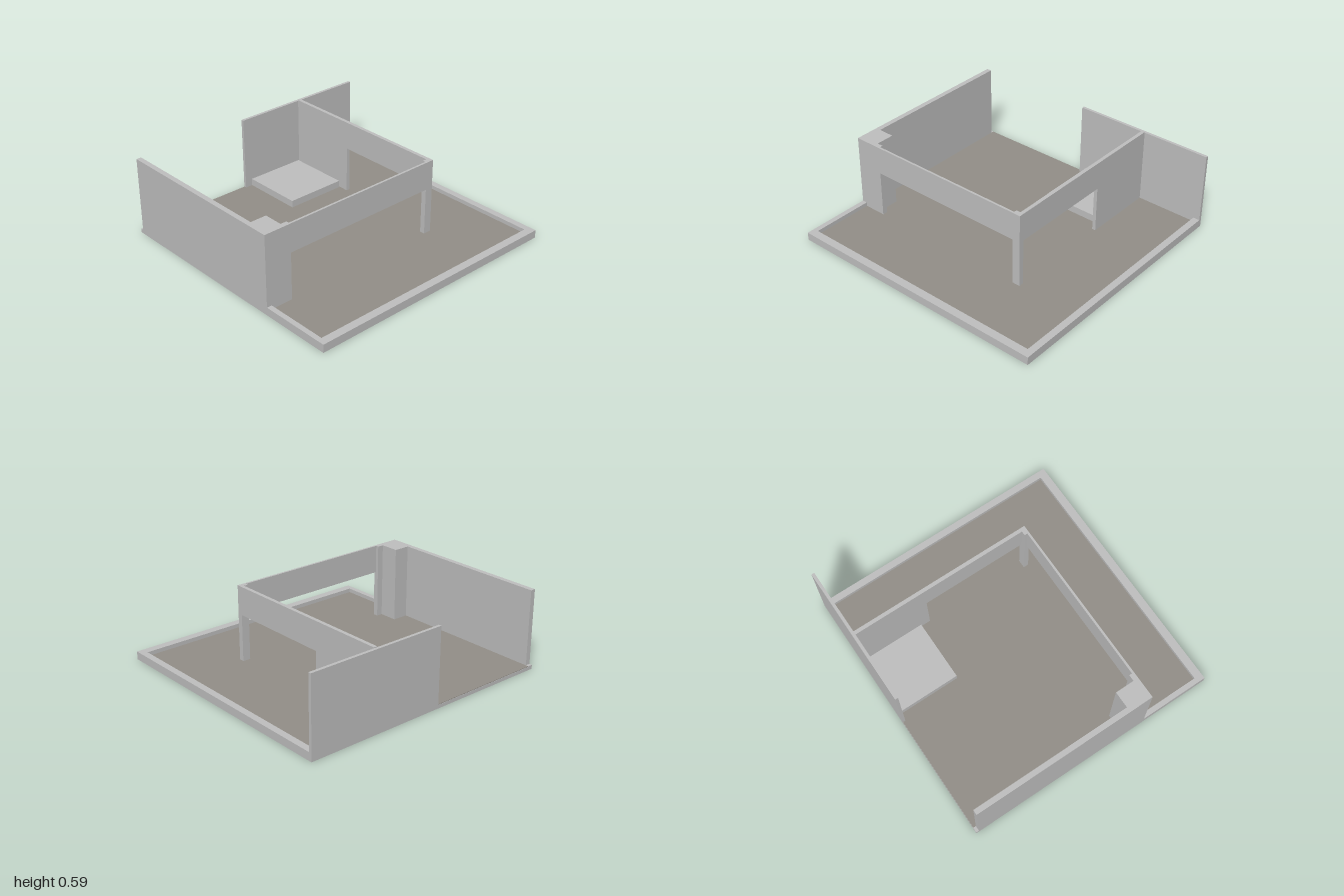
import * as THREE from 'three';

const plaster = new THREE.MeshStandardMaterial({ color: 0xbfbfbf });
plaster.name = 'plaster grey';
const flooring = new THREE.MeshStandardMaterial({ color: 0x938f88 });
flooring.name = 'floor taupe';

const X = 0.967;      // half width of the plot
const FLOOR = 0.03;   // floor level
const TOP = 0.59;     // wall height

// Box given by its limits on each axis
function block(name, [x0, x1], [y0, y1], [z0, z1], material = plaster) {
  const mesh = new THREE.Mesh(new THREE.BoxGeometry(x1 - x0, y1 - y0, z1 - z0), material);
  mesh.position.set((x0 + x1) / 2, (y0 + y1) / 2, (z0 + z1) / 2);
  mesh.name = name;
  return mesh;
}

// Inner back wall with a wide opening down to the floor
function innerWall() {
  const outline = [[-0.945, FLOOR], [-0.4, FLOOR], [-0.4, 0.38], [0.397, 0.38],
    [0.397, FLOOR], [0.435, FLOOR], [0.435, TOP], [-0.945, TOP]];
  const shape = new THREE.Shape(outline.map(([x, y]) => new THREE.Vector2(x, y)));
  const geometry = new THREE.ExtrudeGeometry(shape, { depth: 0.027, bevelEnabled: false });
  const mesh = new THREE.Mesh(geometry, plaster);
  mesh.position.z = -0.487;
  mesh.name = 'innerWall';
  return mesh;
}

export function createModel() {
  const model = new THREE.Group();
  model.name = 'openHouse';
  model.add(
    // Base, floor and raised rim
    block('baseSlab', [-X, X], [0, 0.026], [-1, 1]),
    block('floor', [-X + 0.002, 0.907], [0.026, FLOOR], [-0.95, 0.962], flooring),
    block('backRim', [-0.945, X], [0.026, 0.06], [-1, -0.95]),
    block('rightRim', [0.907, X], [0.026, 0.06], [-0.95, 0.962]),
    block('frontRim', [0.435, X], [0.026, 0.06], [0.962, 1]),
    block('frontRimEnd', [-X, -0.945], [0.026, FLOOR], [0.962, 1]),
    // Walls
    block('frontWall', [-0.945, 0.435], [0.026, TOP], [0.962, 1]),
    block('sideWall', [-X, -0.945], [0.026, 0.585], [-1, 0.07]),
    innerWall(),
    // Corner columns and the beam that spans them
    block('frontColumn', [0.255, 0.435], [FLOOR, TOP], [0.84, 0.962]),
    block('frontPost', [0.397, 0.435], [FLOOR, TOP], [0.793, 0.84]),
    block('backPost', [0.397, 0.435], [FLOOR, TOP], [-0.46, -0.427]),
    block('beam', [0.419, 0.435], [0.38, TOP], [-0.427, 0.793]),
    // Low platform in the inner corner
    block('platform', [-0.945, -0.476], [FLOOR, 0.083], [-0.452, 0.012]),
  );
  return model;
}
